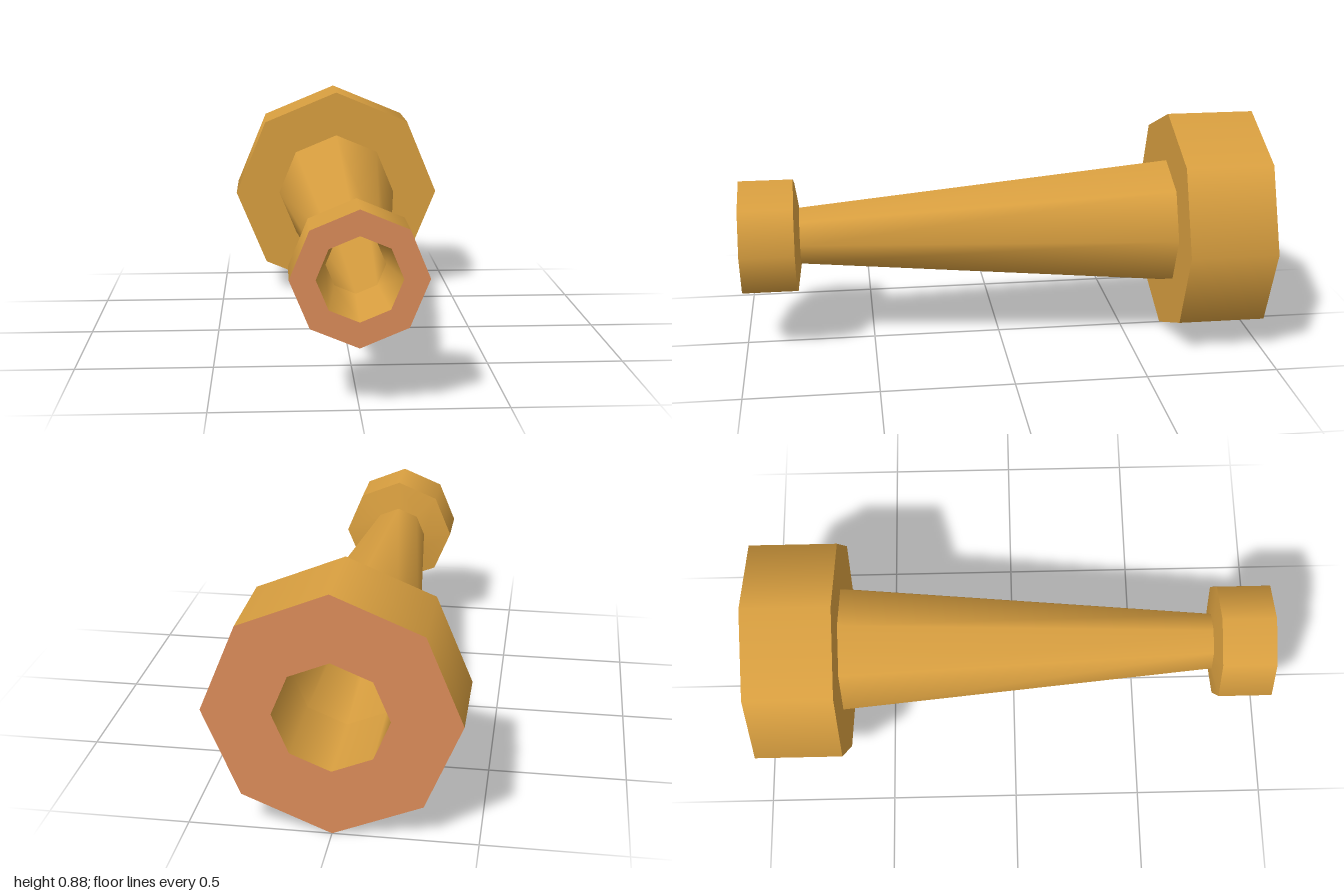
import * as THREE from 'three';

const SIDES = 8;
const AXIS_HEIGHT = 0.44;

// One ring-shaped band between two [radius, z] points, smooth around the axis.
// Walking towards +z faces outwards, walking towards -z faces the bore.
function band(name, from, to, material) {
  const points = [new THREE.Vector2(...from), new THREE.Vector2(...to)];
  const geometry = new THREE.LatheGeometry(points, SIDES);
  geometry.rotateX(Math.PI / 2);
  const mesh = new THREE.Mesh(geometry, material);
  mesh.name = name;
  return mesh;
}

export function createModel() {
  const brass = new THREE.MeshStandardMaterial({ color: 0xdaa040 });
  brass.name = 'brass';
  const copper = new THREE.MeshStandardMaterial({ color: 0xdb8c59 });
  copper.name = 'copper';

  // Closed profile: outside from back to front, then the bore from front to back
  const profile = [
    ['baseCollar', [0.44, -1], brass],
    ['baseShoulder', [0.44, -0.665], brass],
    ['taperedBarrel', [0.252, -0.665], brass],
    ['muzzleShoulder', [0.115, 0.775], brass],
    ['muzzleCollar', [0.23, 0.793], brass],
    ['muzzleRim', [0.23, 1], copper],
    ['muzzleBore', [0.143, 1], brass],
    ['barrelBore', [0.103, 0.775], brass],
    ['baseBore', [0.2, -0.665], brass],
    ['baseRim', [0.2, -1], copper],
  ];

  const model = new THREE.Group();
  model.name = 'nozzle';
  profile.forEach(([name, point, material], i) => {
    const next = profile[(i + 1) % profile.length][1];
    model.add(band(name, point, next, material));
  });
  model.children.forEach((part) => { part.position.y = AXIS_HEIGHT; });
  return model;
}
